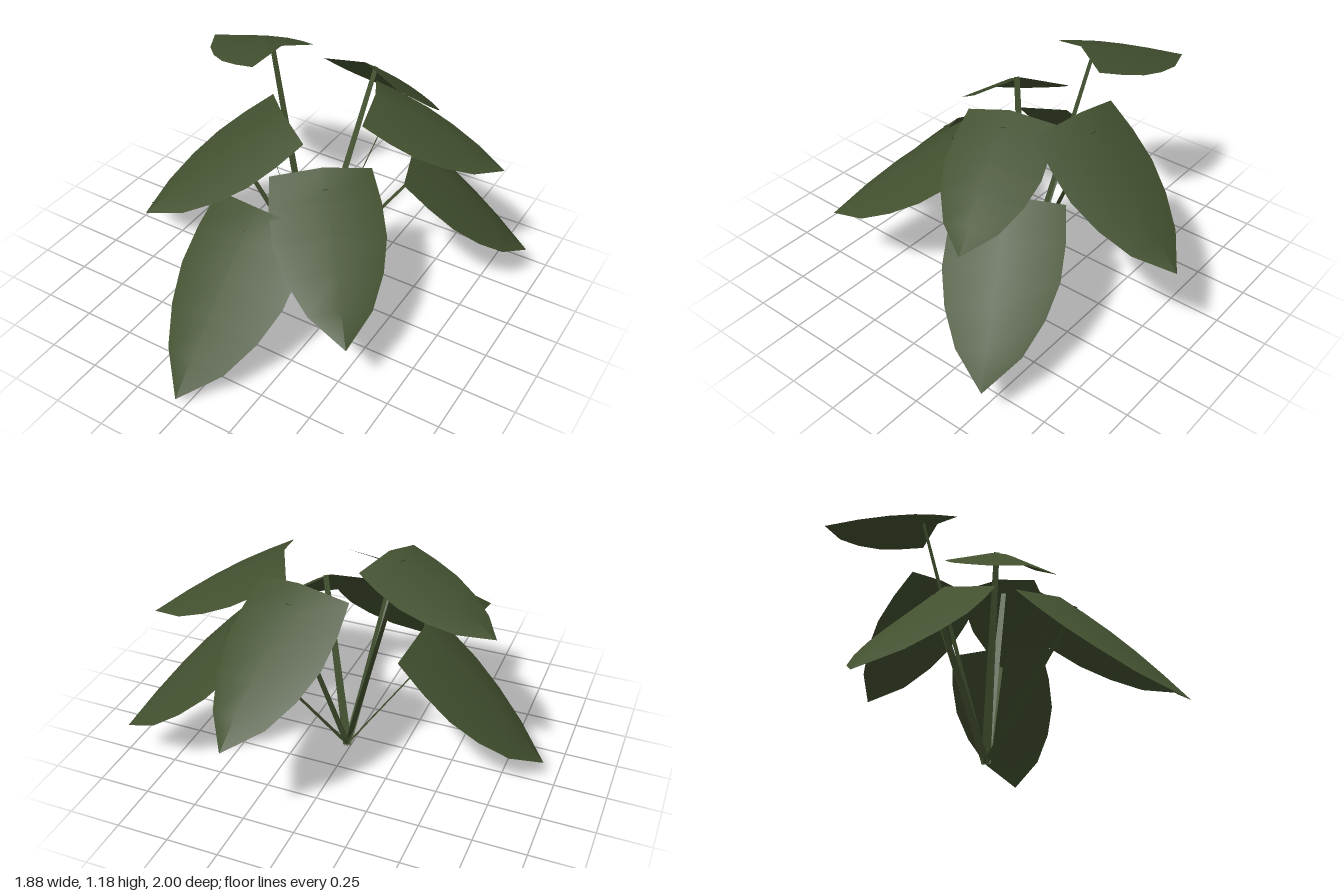
import * as THREE from 'three';

const green = new THREE.MeshStandardMaterial({ color: 0x42502f, side: THREE.DoubleSide });
green.name = 'leaf green';

const ROOT = new THREE.Vector3(0.02, 0, -0.07);
const UP = new THREE.Vector3(0, 1, 0);

// Half width of a leaf, per unit of length, from stem end to tip
const HALF_WIDTH = [0.285, 0.31, 0.31, 0.262, 0.172, 0];
const FOLD = 0.27;       // fall of the blade away from the midrib
const BULGE = 0.02;      // lengthwise arch
const STEM_AT = 0.13;    // where the stem meets the blade

// Each leaf: middle of the wide end, then the tip
const LEAVES = [
  [[0.09, 1.078, -0.415], [0.195, 0.575, -1.0]],
  [[0.42, 0.78, -0.3], [0.94, 0.205, -0.57]],
  [[0.27, 1.085, -0.18], [0.84, 0.758, -0.383]],
  [[0.175, 0.83, 0.115], [0.605, 0.362, 0.632]],
  [[-0.005, 0.7, 0.37], [-0.04, 0.035, 0.995]],
  [[-0.085, 1.005, 0.045], [-0.5, 0.585, 0.545]],
  [[-0.34, 0.74, -0.035], [-0.94, 0.112, 0.005]],
  [[-0.225, 1.182, -0.185], [-0.763, 0.988, -0.397]],
];

// Blade folded along its midrib, shaped from a small grid
function leafBlade(base, dir, side, normal, length) {
  const rows = HALF_WIDTH.length - 1;
  const geo = new THREE.PlaneGeometry(2, 1, 2, rows);
  const pos = geo.attributes.position;
  const p = new THREE.Vector3();
  for (let i = 0; i < pos.count; i++) {
    const t = 0.5 - pos.getY(i);
    const across = pos.getX(i) * HALF_WIDTH[Math.round(t * rows)];
    const lift = BULGE * Math.sin(Math.PI * t) - FOLD * Math.abs(across);
    p.copy(base)
      .addScaledVector(dir, t * length)
      .addScaledVector(side, across * length)
      .addScaledVector(normal, lift * length);
    pos.setXYZ(i, p.x, p.y, p.z);
  }
  geo.computeVertexNormals();
  return geo;
}

// Flat tapering ribbon from the root to the blade
function stemRibbon(top, side) {
  const geo = new THREE.PlaneGeometry(1, 1);
  const pos = geo.attributes.position;
  const p = new THREE.Vector3();
  for (let i = 0; i < pos.count; i++) {
    const atTop = pos.getY(i) > 0;
    p.copy(atTop ? top : ROOT).addScaledVector(side, pos.getX(i) * (atTop ? 0.026 : 0.044));
    pos.setXYZ(i, p.x, p.y, p.z);
  }
  geo.computeVertexNormals();
  return geo;
}

function addMesh(group, geo, name) {
  const mesh = new THREE.Mesh(geo, green);
  mesh.name = name;
  group.add(mesh);
}

export function createModel() {
  const plant = new THREE.Group();
  plant.name = 'plant';

  LEAVES.forEach(([from, to], i) => {
    const base = new THREE.Vector3(...from);
    const dir = new THREE.Vector3(...to).sub(base);
    const length = dir.length();
    dir.normalize();
    const side = new THREE.Vector3().crossVectors(UP, dir).normalize();
    const normal = new THREE.Vector3().crossVectors(dir, side);

    const leaf = new THREE.Group();
    leaf.name = `leaf${i + 1}`;
    addMesh(leaf, leafBlade(base, dir, side, normal, length), 'blade');

    // Stem end pokes just through the blade
    const top = base.clone()
      .addScaledVector(dir, STEM_AT * length)
      .addScaledVector(normal, BULGE * 0.4 * length + 0.003);
    const stemSide = new THREE.Vector3(top.x - ROOT.x, 0, top.z - ROOT.z).cross(UP).normalize();
    addMesh(leaf, stemRibbon(top, stemSide), 'stem');
    plant.add(leaf);
  });

  return plant;
}
